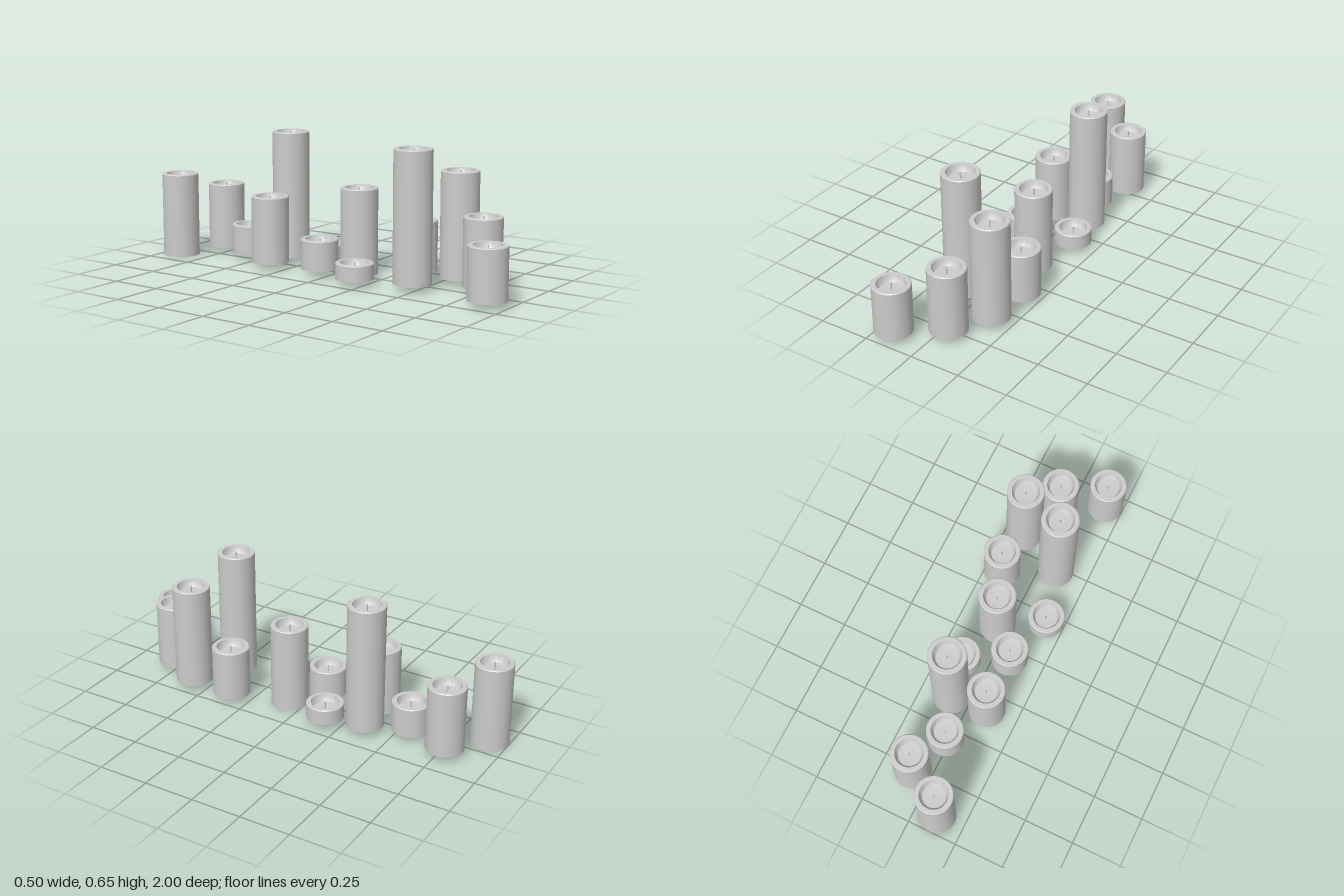
import * as THREE from 'three';
import { toCreasedNormals } from 'three/addons/utils/BufferGeometryUtils.js';

const R = 0.091;

// x, z, base height, top height of each candle, back to front
const CANDLES = [
  [-0.11, -0.909, 0, 0.42],
  [0.09, -0.772, 0.03, 0.357],
  [0.02, -0.56, 0.03, 0.177],
  [-0.095, -0.342, 0.03, 0.357],
  [0.092, -0.355, 0.03, 0.655],
  [0.13, -0.16, 0.03, 0.107],
  [-0.08, -0.055, 0.03, 0.177],
  [0.054, 0.083, 0, 0.42],
  [-0.158, 0.203, 0.03, 0.107],
  [0.16, 0.353, 0.03, 0.278],
  [-0.084, 0.473, 0.03, 0.655],
  [0.147, 0.585, 0.03, 0.537],
  [0.04, 0.77, 0.03, 0.357],
  [-0.162, 0.909, 0.03, 0.278],
];

export function createModel() {
  const model = new THREE.Group();
  const material = new THREE.MeshStandardMaterial({ color: 0xcccccc });
  const wickGeometry = new THREE.CylinderGeometry(0.0035, 0.0035, 0.038, 10);

  // Closed wax body: flat base, softened rim, sunken melt pool
  const waxGeometry = (h) => {
    const profile = [
      [0, 0], [R, 0], [R, h - 0.004], [R - 0.004, h],
      [0.068, h], [0.063, h - 0.02], [0.054, h - 0.032], [0, h - 0.036],
    ].map(([r, y]) => new THREE.Vector2(r, y));
    return toCreasedNormals(new THREE.LatheGeometry(profile, 48), 0.5);
  };

  CANDLES.forEach(([x, z, base, top], i) => {
    const h = top - base;
    const candle = new THREE.Group();
    candle.name = `candle${i + 1}`;
    candle.position.set(x, base, z);

    const wax = new THREE.Mesh(waxGeometry(h), material);
    wax.name = 'wax';

    const wick = new THREE.Mesh(wickGeometry, material);
    wick.name = 'wick';
    wick.position.y = h - 0.02;

    candle.add(wax, wick);
    model.add(candle);
  });
  return model;
}
